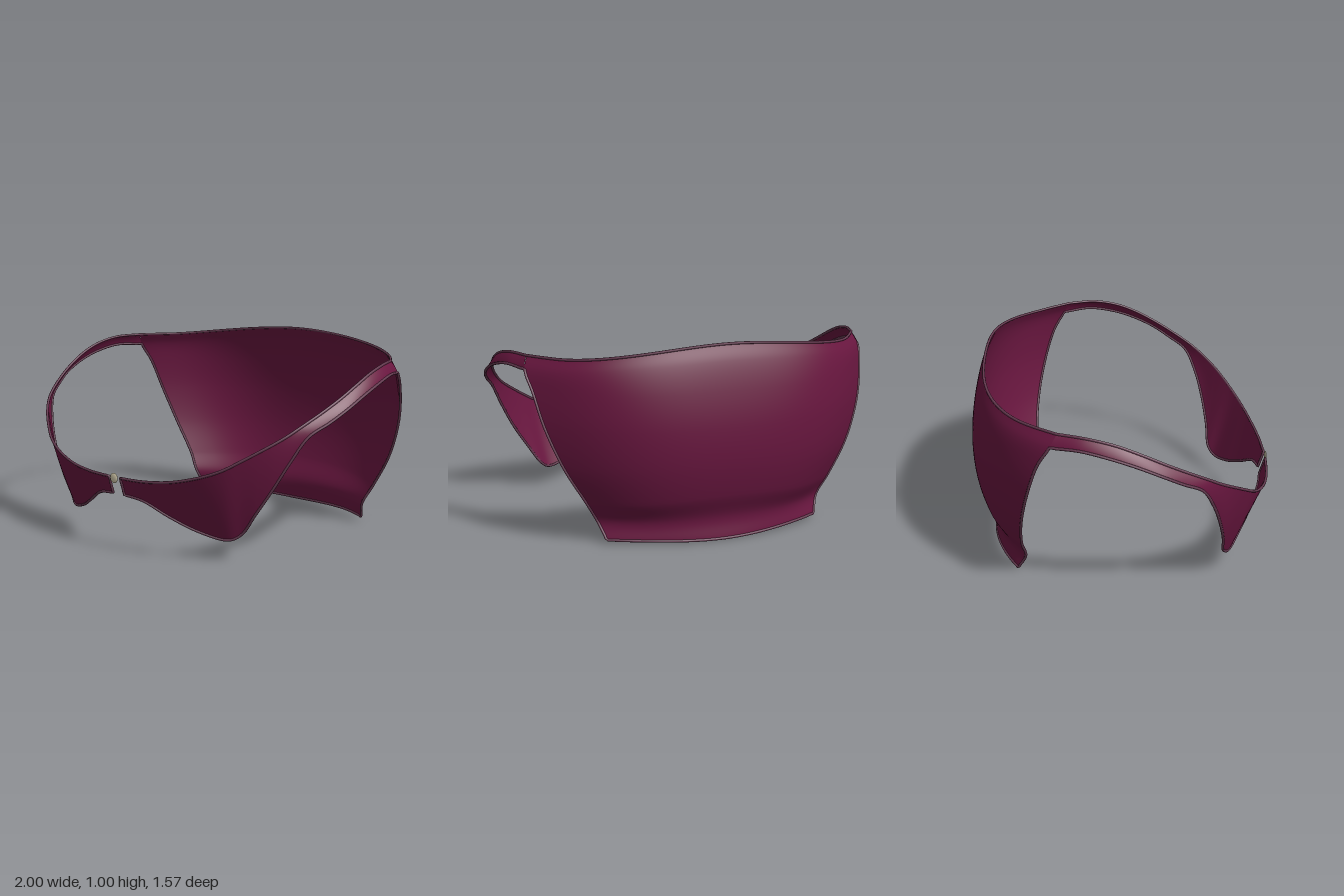
import * as THREE from 'three';
import { ParametricGeometry } from 'three/addons/geometries/ParametricGeometry.js';

const curve = (pts) => new THREE.CatmullRomCurve3(pts.map((p) => new THREE.Vector3(...p)));

// Upper and lower borders of one side: front flap first, then the shoulder strap
const sideTop = curve([
  [0.04, 0.38, 0.772], [0.2, 0.385, 0.762], [0.35, 0.402, 0.738], [0.5, 0.44, 0.697],
  [0.6, 0.48, 0.655], [0.68, 0.53, 0.605], [0.75, 0.578, 0.552], [0.8, 0.615, 0.505],
  [0.84, 0.65, 0.457], [0.87, 0.685, 0.405], [0.91, 0.74, 0.31], [0.942, 0.8, 0.2],
  [0.957, 0.86, 0.08], [0.954, 0.902, -0.03], [0.935, 0.928, -0.16], [0.89, 0.932, -0.3],
]);
const sideBottom = curve([
  [0.04, 0.292, 0.745], [0.15, 0.275, 0.725], [0.28, 0.205, 0.672], [0.41, 0.143, 0.608],
  [0.55, 0.112, 0.542], [0.605, 0.145, 0.512], [0.68, 0.25, 0.503], [0.765, 0.38, 0.48],
  [0.84, 0.52, 0.44], [0.9, 0.64, 0.38], [0.95, 0.7, 0.285], [0.982, 0.755, 0.19],
  [0.993, 0.81, 0.07], [0.988, 0.85, -0.05], [0.962, 0.877, -0.19], [0.91, 0.87, -0.335],
]);

// Back panel: side border and centre line, from the hem up
const backSide = curve([
  [0.57, 0.025, -0.53], [0.605, 0.115, -0.487], [0.665, 0.22, -0.5], [0.77, 0.4, -0.49],
  [0.85, 0.6, -0.45], [0.89, 0.77, -0.395], [0.91, 0.87, -0.335], [0.89, 0.932, -0.3],
]);
const backCentre = curve([
  [0, 0.012, -0.685], [0, 0.12, -0.679], [0, 0.25, -0.732], [0, 0.42, -0.772],
  [0, 0.6, -0.782], [0, 0.78, -0.764], [0, 0.92, -0.733], [0, 0.998, -0.703],
]);

// Point on the flap and strap, with a slight outward belly
function sidePoint(u, v, target) {
  const a = sideTop.getPoint(u), b = sideBottom.getPoint(u);
  const belly = 0.25 * v * (1 - v) * a.distanceTo(b);
  target.lerpVectors(a, b, v);
  const r = Math.hypot(target.x, target.z);
  target.x *= 1 + belly * u / r;
  target.z *= 1 + belly * u / r;
  return target;
}

// Point on the back panel; s runs from -1 to 1 along an elliptical arc
function backPoint(s, v, target) {
  const e = backSide.getPoint(v), c = backCentre.getPoint(v);
  const end = Math.acos(e.z / c.z);
  const swell = 1 + 0.05 * v * Math.sin(Math.PI * s) ** 2;
  const f = THREE.MathUtils.smoothstep(Math.abs(s), 0, 0.8);
  return target.set(
    swell * e.x * Math.sin(s * end) / Math.sin(end),
    THREE.MathUtils.lerp(c.y, e.y, f),
    swell * c.z * Math.cos(s * end)
  );
}

// Border of one half, from the hem centre round the flap to the upper back centre
function borderPoints() {
  const pts = [];
  const add = (fn, a, b, n) => {
    for (let i = 0; i < n; i++) pts.push(fn(a + (b - a) * i / n, new THREE.Vector3()));
  };
  add((t, p) => backPoint(t, 0, p), 0, 1, 20);
  add((t, p) => backPoint(1, t, p), 0, 6 / 7, 28);
  add((t, p) => sidePoint(t, 1, p), 1, 0, 70);
  add((t, p) => sidePoint(0, t, p), 1, 0, 4);
  add((t, p) => sidePoint(t, 0, p), 0, 1, 60);
  add((t, p) => backPoint(t, 1, p), 1, 0, 24);
  pts.push(backPoint(0, 1, new THREE.Vector3()));
  return pts;
}

export function createModel() {
  const group = new THREE.Group();
  const cloth = new THREE.MeshStandardMaterial({ color: 0x6a1740, side: THREE.DoubleSide });
  const piping = new THREE.MeshStandardMaterial({ color: 0x64394f });
  const ivory = new THREE.MeshStandardMaterial({ color: 0xd6cdae });
  const add = (name, geometry, material) => {
    const mesh = new THREE.Mesh(geometry, material);
    mesh.name = name;
    group.add(mesh);
    return mesh;
  };

  add('backPanel', new ParametricGeometry((u, v, p) => backPoint(2 * u - 1, v, p), 80, 56), cloth);

  // Mirrored flaps, straps and edge piping
  const border = borderPoints();
  for (const [side, m] of [['left', 1], ['right', -1]]) {
    add(side + 'FlapAndStrap', new ParametricGeometry((u, v, p) => {
      sidePoint(u, v, p);
      p.x *= m;
    }, 120, 14), cloth);
    const path = new THREE.CatmullRomCurve3(border.map((p) => new THREE.Vector3(p.x * m, p.y, p.z)));
    add(side + 'Piping', new THREE.TubeGeometry(path, 420, 0.007, 8), piping);
  }

  // Front button
  const button = add('button', new THREE.SphereGeometry(0.026, 24, 16), ivory);
  button.scale.z = 0.25;
  button.position.set(0, 0.377, 0.777);
  return group;
}
